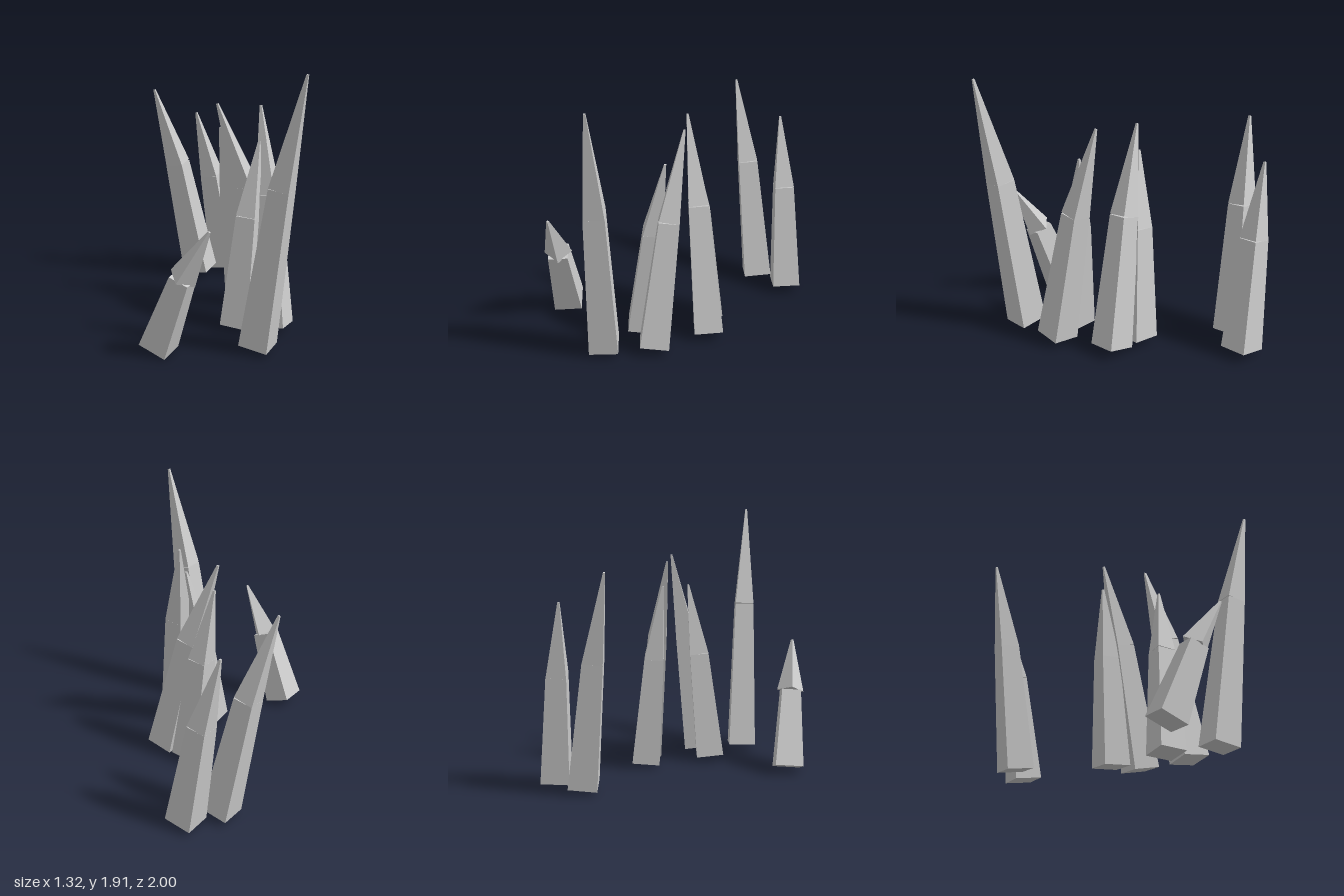
import * as THREE from 'three';

const UP = new THREE.Vector3(0, 1, 0);

// Four-sided tapered shaft between two points, square to its own axis
function shaft(name, from, to, rBottom, rTop, twist, material) {
  const axis = to.clone().sub(from);
  const geometry = new THREE.CylinderGeometry(rTop, rBottom, axis.length(), 4);
  geometry.rotateY(twist);
  const mesh = new THREE.Mesh(geometry, material);
  mesh.name = name;
  mesh.position.copy(from).add(to).multiplyScalar(0.5);
  mesh.quaternion.setFromUnitVectors(UP, axis.normalize());
  return mesh;
}

// A leaning spike: a thick trunk, then a point that bends over a little more
function spike(name, base, tip, twist, material) {
  const group = new THREE.Group();
  group.name = name;
  const b = new THREE.Vector3(...base);
  const t = new THREE.Vector3(...tip);
  const joint = b.clone().lerp(t, 0.5);
  joint.y = THREE.MathUtils.lerp(b.y, t.y, 0.6);
  group.add(shaft('trunk', b, joint, 0.145, 0.1, 0, material));
  group.add(shaft('point', joint, t, 0.1, 0.01, twist, material));
  return group;
}

export function createModel() {
  const model = new THREE.Group();
  model.name = 'spikes';
  const material = new THREE.MeshStandardMaterial({ color: 0xcccccc, flatShading: true });

  // name, base centre, tip, twist of the point
  const spikes = [
    ['tallFrontSpike', [0.12, 0.045, 0.735], [0.31, 1.91, 0.99], 0],
    ['smallLeaningSpike', [-0.52, 0.043, 0.52], [-0.28, 0.93, 0.86], Math.PI / 4],
    ['innerFrontSpike', [0.13, 0.04, 0.365], [0.3, 1.36, 0.3], 0],
    ['outerFrontSpike', [0.365, 0.05, 0.475], [0.36, 1.59, 0.18], 0],
    ['outerMiddleSpike', [0.52, 0.05, 0.075], [0.135, 1.57, -0.09], 0],
    ['innerMiddleSpike', [0.36, 0.045, -0.1], [0.165, 1.39, -0.105], 0],
    ['innerBackSpike', [0.26, 0.05, -0.8], [-0.095, 1.57, -0.885], 0],
    ['outerBackSpike', [0.515, 0.045, -0.84], [0.285, 1.35, -0.96], 0],
  ];
  for (const [name, base, tip, twist] of spikes) {
    model.add(spike(name, base, tip, twist, material));
  }
  return model;
}
